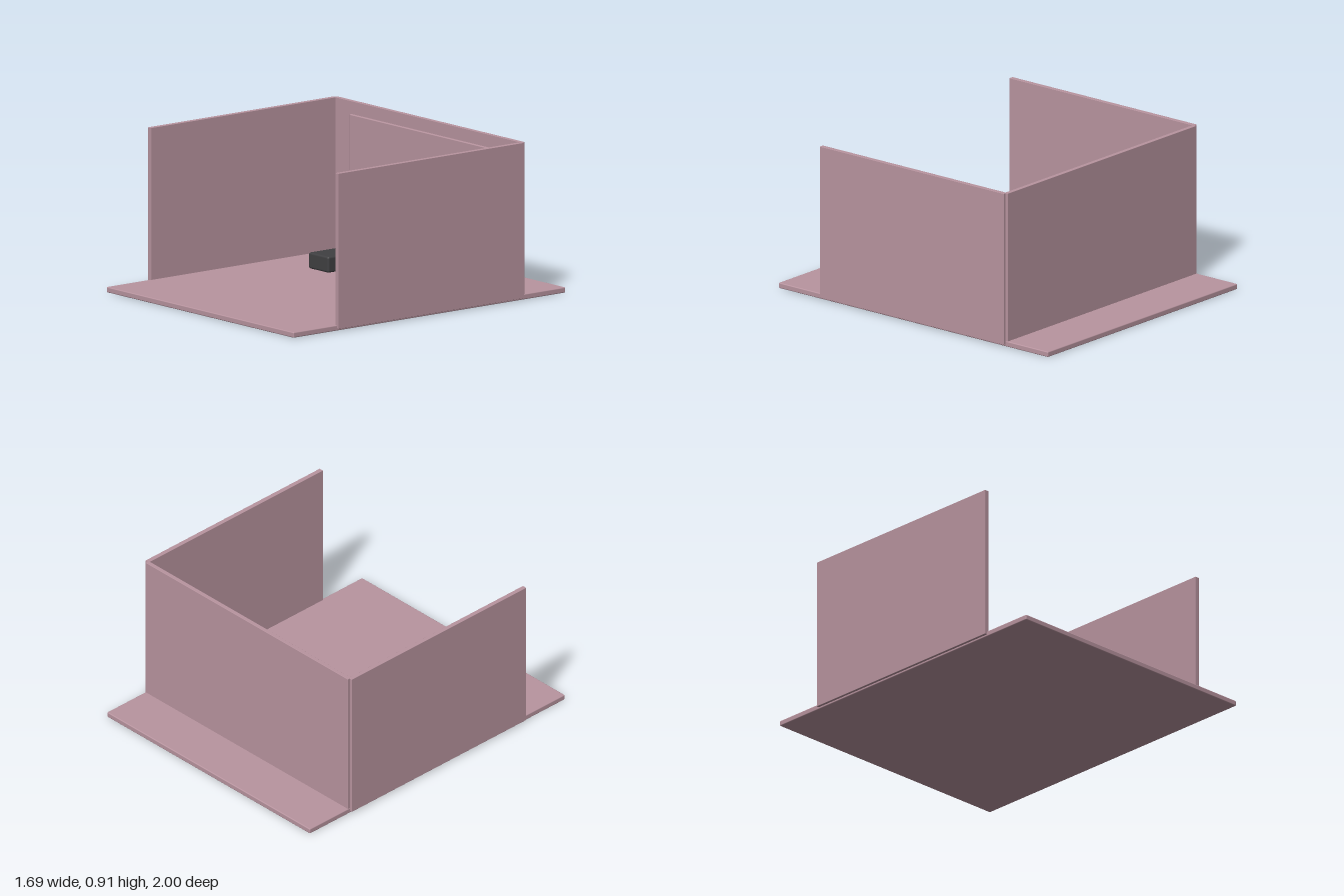
import * as THREE from 'three';
import { RoundedBoxGeometry } from 'three/addons/geometries/RoundedBoxGeometry.js';

export function createModel() {
  const group = new THREE.Group();
  const pink = new THREE.MeshStandardMaterial({ color: 0xb8949f });
  pink.name = 'dusty pink';
  const dark = new THREE.MeshStandardMaterial({ color: 0x404042 });
  dark.name = 'charcoal';

  // Slightly rounded block given by its extents along each axis
  function block(name, material, [x0, x1], [y0, y1], [z0, z1], radius) {
    const geometry = new RoundedBoxGeometry(x1 - x0, y1 - y0, z1 - z0, 2, radius);
    const mesh = new THREE.Mesh(geometry, material);
    mesh.position.set((x0 + x1) / 2, (y0 + y1) / 2, (z0 + z1) / 2);
    mesh.name = name;
    group.add(mesh);
  }

  // Floor slab, back wall and the panel standing just in front of it
  block('floor', pink, [-0.832, 0.832], [0, 0.032], [-1, 1], 0.006);
  block('backWall', pink, [-0.83, 0.83], [0.012, 0.912], [-0.7, -0.675], 0.002);
  block('backPanel', pink, [-0.65, 0.65], [0.045, 0.845], [-0.656, -0.636], 0.004);

  // Mirrored side walls and small floor blocks
  for (const [side, s] of [['left', 1], ['right', -1]]) {
    const span = (a, b) => (s > 0 ? [a, b] : [-b, -a]);
    block(side + 'Wall', pink, span(0.82, 0.847), [0.012, 0.912], [-0.685, 0.682], 0.002);
    block(side + 'FloorBlock', dark, span(0.318, 0.496), [0.034, 0.128], [-0.42, -0.206], 0.012);
  }
  return group;
}
